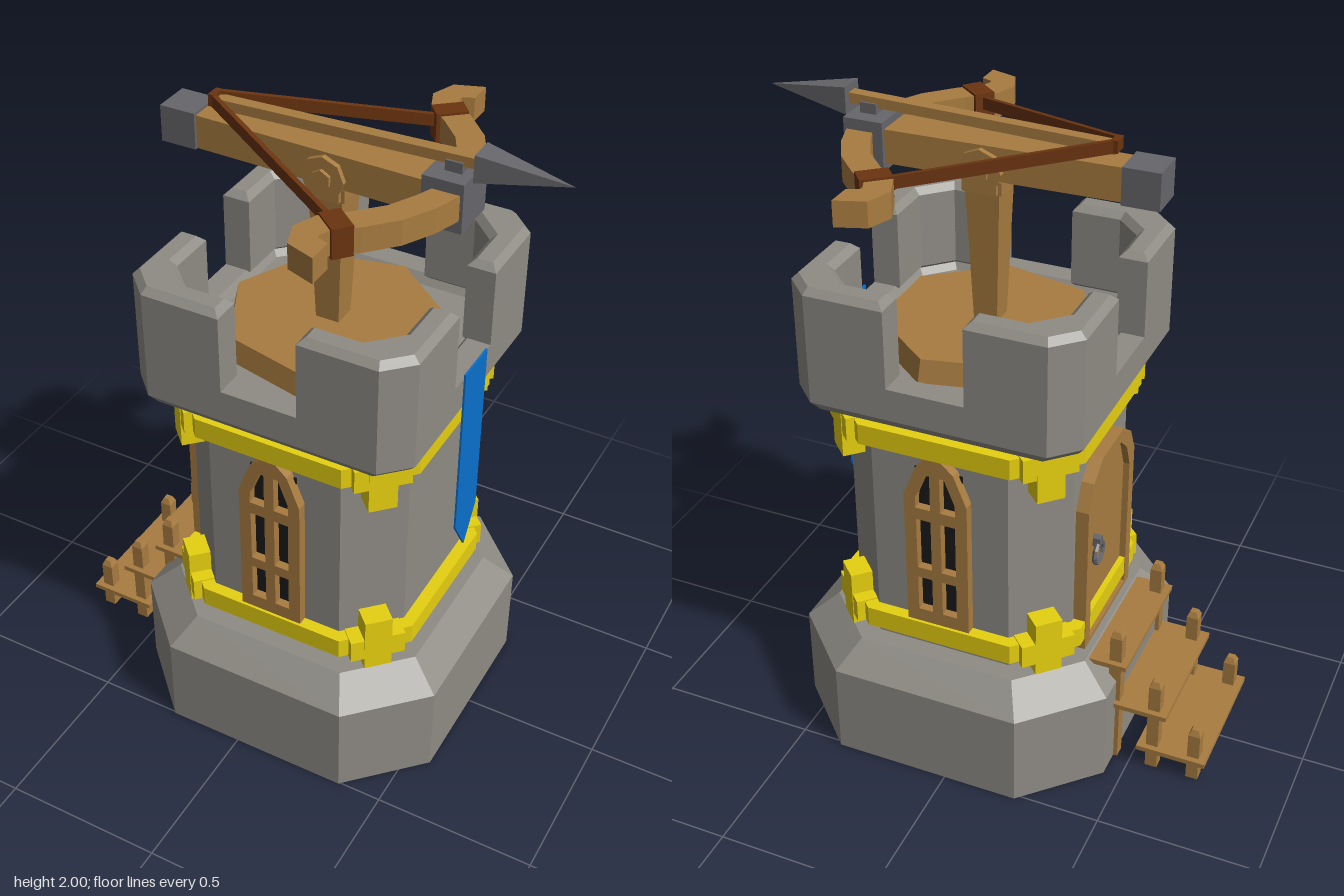
import * as THREE from 'three';

const mat = (color) => new THREE.MeshStandardMaterial({ color, flatShading: true, side: THREE.DoubleSide });
const stone = mat(0x8f8c85), wood = mat(0xa87c40), yellow = mat(0xe6d010), iron = mat(0x67676b);
const rope = mat(0x6b3410), black = mat(0x1a1a1a), blue = mat(0x0b70cc);

function add(parent, name, geometry, material, x = 0, y = 0, z = 0) {
  const mesh = new THREE.Mesh(geometry, material);
  mesh.name = name;
  mesh.position.set(x, y, z);
  parent.add(mesh);
  return mesh;
}

function group(parent, name, x = 0, y = 0, z = 0, turn = 0) {
  const g = new THREE.Group();
  g.name = name;
  g.position.set(x, y, z);
  g.rotation.y = turn;
  parent.add(g);
  return g;
}

const box = (w, h, d) => new THREE.BoxGeometry(w, h, d);
const shape = (pts) => new THREE.Shape(pts.map(([x, y]) => new THREE.Vector2(x, y)));
const extrude = (s, depth) => new THREE.ExtrudeGeometry(s, { depth, bevelEnabled: false });

// Stacks chamfered squares; each row is [y, half width, half length of the flat side]
function loft(rows) {
  const pos = [], index = [];
  for (const [y, h, f] of rows) {
    for (const [x, z] of [[h, f], [f, h], [-f, h], [-h, f], [-h, -f], [-f, -h], [f, -h], [h, -f]]) pos.push(x, y, z);
  }
  const top = (rows.length - 1) * 8;
  for (let r = 0; r < top; r += 8) {
    for (let i = 0; i < 8; i++) {
      const a = r + i, b = r + (i + 1) % 8;
      index.push(a, a + 8, b + 8, a, b + 8, b);
    }
  }
  for (let i = 1; i < 7; i++) index.push(0, i, i + 1, top, top + i + 1, top + i);
  const g = new THREE.BufferGeometry();
  g.setAttribute('position', new THREE.Float32BufferAttribute(pos, 3));
  g.setIndex(index);
  const flat = g.toNonIndexed();
  flat.computeVertexNormals();
  return flat;
}

function buildCrown(tower) {
  add(tower, 'crownWall', loft([[1.19, 0.415, 0.34], [1.22, 0.4375, 0.36], [1.32, 0.4375, 0.36],
    [1.32, 0.365, 0.28], [1.29, 0.345, 0.265]]), stone);
  const g = 0.118, o = 0.4375, c = 0.36, i = 0.35, k = 0.27;
  const corner = shape([[g, o], [c, o], [o, c], [o, g], [i, g], [i, k], [k, i], [g, i]]);
  const geo = new THREE.ExtrudeGeometry(corner, {
    depth: 0.24, bevelThickness: 0.02, bevelSize: 0.02, bevelOffset: -0.02, bevelSegments: 1,
  });
  geo.rotateX(-Math.PI / 2);
  for (let n = 0; n < 4; n++) add(tower, 'merlon', geo, stone, 0, 1.32, 0).rotation.y = n * Math.PI / 2;
  // seven-sided wooden turntable
  add(tower, 'platform', new THREE.CylinderGeometry(0.32, 0.335, 0.07, 7), wood, 0, 1.325, 0).rotation.y = -Math.PI / 2;
}

function buildBand(tower, y, crossY) {
  add(tower, 'band', loft([[y - 0.033, 0.398, 0.235], [y + 0.033, 0.398, 0.235]]), yellow);
  for (let n = 0; n < 4; n++) {
    const cross = group(tower, 'bandCross', 0, 0, 0, Math.PI / 4 + n * Math.PI / 2);
    add(cross, 'crossUpright', box(0.085, 0.185, 0.07), yellow, 0, crossY, 0.44);
    add(cross, 'crossBar', box(0.17, 0.075, 0.07), yellow, 0, y, 0.438);
  }
}

function buildWindow(tower, turn) {
  const win = group(tower, 'window', 0, 0, 0, turn);
  const outline = [[-0.1, 0.495], [0.1, 0.495], [0.1, 0.95], [0.06, 1.05], [0.022, 1.085],
    [-0.022, 1.085], [-0.06, 1.05], [-0.1, 0.95]];
  const frame = shape(outline);
  for (const s of [-1, 1]) {
    const panes = [
      [[0.016, 0.54], [0.062, 0.54], [0.062, 0.66], [0.016, 0.66]],
      [[0.016, 0.695], [0.062, 0.695], [0.062, 0.87], [0.016, 0.87]],
      [[0.016, 0.91], [0.064, 0.91], [0.062, 0.95], [0.03, 1.03], [0.016, 1.03]],
    ];
    for (const p of panes) frame.holes.push(shape(p.map(([x, y]) => [s * x, y])));
  }
  add(win, 'windowFrame', extrude(frame, 0.04), wood, 0, 0, 0.352);
  add(win, 'windowGlass', box(0.15, 0.5, 0.02), black, 0, 0.785, 0.355);
}

function buildDoor(tower) {
  const door = group(tower, 'door', 0, 0, -0.005, -Math.PI / 2);
  const arch = (w, bottom, top) => [[-w, bottom], [w, bottom], [w, top - 0.13], [w * 0.8, top - 0.05],
    [w * 0.45, top], [-w * 0.45, top], [-w * 0.8, top - 0.05], [-w, top - 0.13]];
  const frame = shape(arch(0.195, 0.38, 1.02));
  frame.holes.push(shape(arch(0.155, 0.4, 0.98)));
  add(door, 'doorFrame', extrude(frame, 0.05), wood, 0, 0, 0.35);
  add(door, 'doorPanel', extrude(shape(arch(0.16, 0.39, 0.985)), 0.03), wood, 0, 0, 0.35);
  add(door, 'doorRing', new THREE.TorusGeometry(0.035, 0.008, 5, 10), iron, -0.1, 0.69, 0.4);
  add(door, 'ringMount', box(0.025, 0.03, 0.035), iron, -0.1, 0.73, 0.39);
}

function buildStairs(root) {
  const stairs = group(root, 'stairs', 0, 0, -0.015);
  // step: left edge, right edge, height, post x, post height
  for (const [x0, x1, y, px, h] of [[-0.745, -0.525, 0.077, -0.703, 0.19],
    [-0.615, -0.44, 0.22, -0.57, 0.335], [-0.48, -0.34, 0.373, -0.44, 0.487]]) {
    add(stairs, 'step', box(x1 - x0, 0.016, 0.44), wood, (x0 + x1) / 2, y, 0);
    for (const z of [-0.183, 0.183]) {
      add(stairs, 'stairPost', box(0.038, h - 0.02, 0.038), wood, px, (h - 0.02) / 2, z);
      add(stairs, 'postTip', new THREE.CylinderGeometry(0.015, 0.027, 0.02, 4), wood, px, h - 0.01, z)
        .rotation.y = Math.PI / 4;
    }
  }
}

function buildCrossbow(root) {
  const bow = group(root, 'crossbow');
  const post = new THREE.CylinderGeometry(0.052 * Math.SQRT2, 0.036 * Math.SQRT2, 0.43, 4).rotateY(Math.PI / 4);
  add(bow, 'post', post, wood, 0.062, 1.565, 0);
  add(bow, 'postCollar', box(0.12, 0.04, 0.11), wood, 0.062, 1.785, 0);
  for (const s of [-1, 1]) {
    add(bow, 'pivotCheek', box(0.1, 0.08, 0.02), wood, 0.062, 1.81, s * 0.06);
    add(bow, 'pivotDisc', new THREE.CylinderGeometry(0.065, 0.065, 0.02, 8).rotateX(Math.PI / 2), wood, 0.062, 1.835, s * 0.062);
    add(bow, 'pivotPin', new THREE.CylinderGeometry(0.03, 0.03, 0.025, 6).rotateX(Math.PI / 2), wood, 0.062, 1.835, s * 0.07);
  }
  // stock widens towards the front
  const stock = box(0.8, 0.1, 0.1), p = stock.attributes.position;
  for (let i = 0; i < p.count; i++) p.setZ(i, p.getZ(i) * (p.getX(i) > 0 ? 1.25 : 0.9));
  add(bow, 'stock', stock, wood, 0, 1.857, 0);
  add(bow, 'rearCap', box(0.11, 0.11, 0.115), iron, -0.4, 1.86, -0.003);
  add(bow, 'frontCap', box(0.12, 0.145, 0.148), iron, 0.413, 1.857, 0);
  add(bow, 'boltRest', box(0.05, 0.04, 0.05), iron, 0.42, 1.94, 0);

  // bolt
  add(bow, 'boltShaft', box(0.8, 0.03, 0.036), wood, 0.09, 1.953, 0).rotation.z = 0.03;
  const head = new THREE.ConeGeometry(0.04 * Math.SQRT2, 0.26, 4).rotateY(Math.PI / 4).rotateZ(-Math.PI / 2);
  add(bow, 'boltHead', head, iron, 0.612, 1.962, 0);

  // curved arms, bindings and string
  const path = [[0.4, 0], [0.425, 0.07], [0.4, 0.14], [0.355, 0.225], [0.285, 0.3], [0.22, 0.355],
    [0.2, 0.405], [0.215, 0.45], [0.275, 0.472]];
  for (const s of [-1, 1]) {
    const left = [], right = [];
    path.forEach(([x, z], i) => {
      const a = path[Math.max(i - 1, 0)], b = path[Math.min(i + 1, path.length - 1)];
      const dx = b[0] - a[0], dz = b[1] - a[1], k = 0.04 / Math.hypot(dx, dz);
      if (i === path.length - 1) {
        left.push([x, s * (z - 0.038)]);
        right.unshift([x, s * (z + 0.038)]);
      } else {
        left.push([x + dz * k, s * (z - dx * k)]);
        right.unshift([x - dz * k, s * (z + dx * k)]);
      }
    });
    add(bow, 'bowArm', extrude(shape([...left, ...right]), 0.075).rotateX(Math.PI / 2), wood, 0, 1.897, 0);
    add(bow, 'binding', box(0.06, 0.088, 0.092), rope, 0.245, 1.86, s * 0.333).rotation.y = s * 0.87;
    const from = new THREE.Vector3(-0.31, 1.95, s * 0.012), to = new THREE.Vector3(0.22, 1.873, s * 0.31);
    const mid = from.clone().add(to).multiplyScalar(0.5);
    const string = add(bow, 'bowString', box(0.014, 0.036, from.distanceTo(to)), rope, mid.x, mid.y, mid.z);
    string.lookAt(to);
  }
  add(bow, 'stringNock', box(0.02, 0.036, 0.045), rope, -0.308, 1.95, 0);
}

export function createModel() {
  const root = new THREE.Group();
  root.name = 'ballistaTower';
  const tower = group(root, 'tower', 0.064, 0, -0.005);
  add(tower, 'base', loft([[0, 0.51, 0.298], [0.305, 0.51, 0.298], [0.385, 0.42, 0.25]]), stone);
  add(tower, 'shaft', loft([[0.38, 0.36, 0.215], [1.2, 0.36, 0.215]]), stone);
  buildBand(tower, 0.459, 0.475);
  buildBand(tower, 1.122, 1.1);
  buildCrown(tower);
  buildWindow(tower, 0);
  buildWindow(tower, Math.PI);
  buildDoor(tower);

  // hanging banner with a pointed end
  const flag = shape([[-0.072, 1.335], [-0.072, 0.77], [0, 0.655], [0.072, 0.77], [0.072, 1.335]]);
  add(root, 'banner', extrude(flag, 0.006).rotateY(Math.PI / 2), blue, 0.503, 0, -0.012);

  buildStairs(root);
  buildCrossbow(root);
  return root;
}
